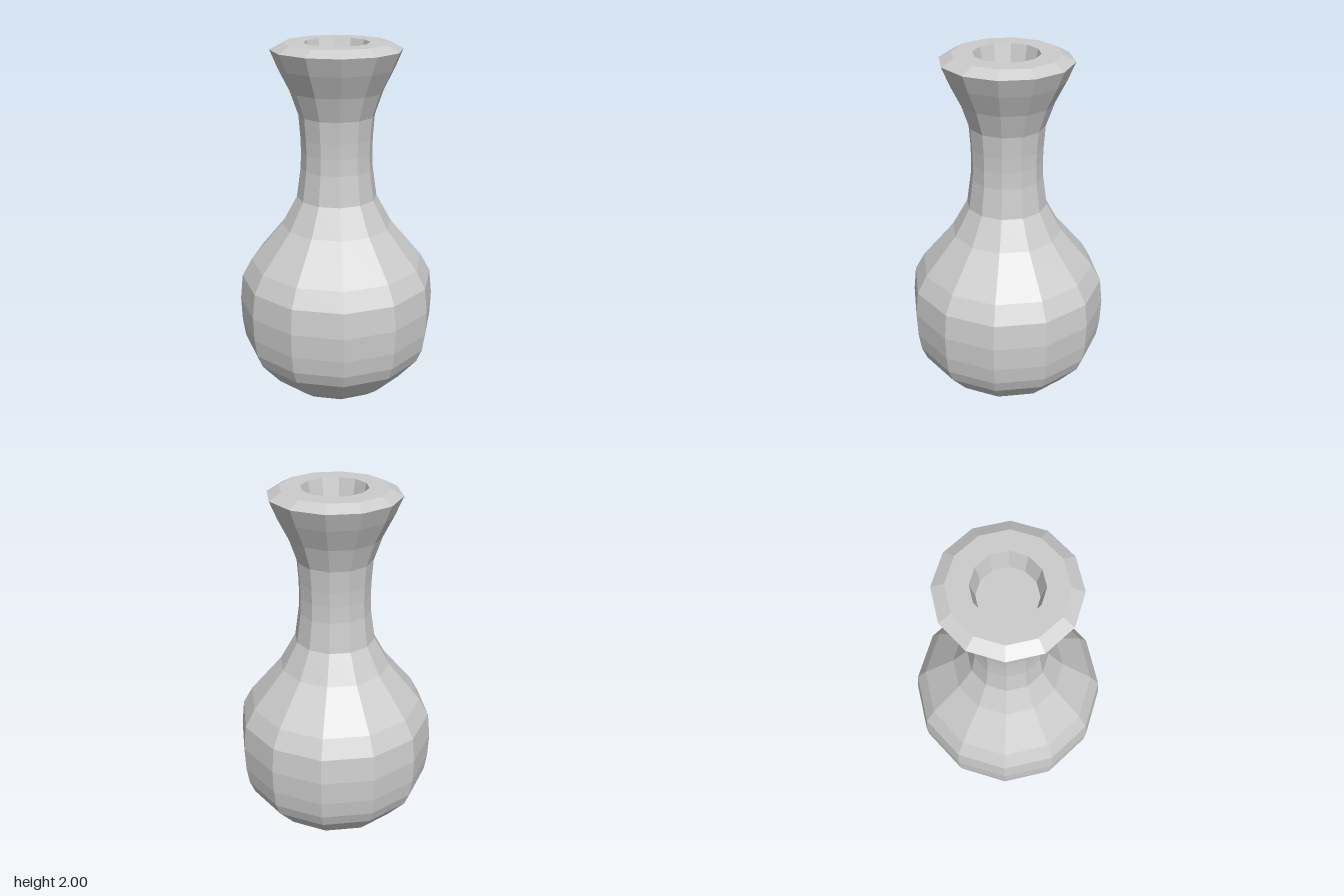
import * as THREE from 'three';

const SIDES = 12;

// Turn a [radius, height] profile into a faceted mesh
function lathe(name, profile, material) {
  const points = profile.map(([r, y]) => new THREE.Vector2(r, y));
  const mesh = new THREE.Mesh(new THREE.LatheGeometry(points, SIDES), material);
  mesh.name = name;
  return mesh;
}

export function createModel() {
  const group = new THREE.Group();
  group.name = 'vase';
  const material = new THREE.MeshStandardMaterial({ color: 0xcccccc, flatShading: true });

  // Flat base and round belly
  const belly = [
    [0, 0], [0.2, 0], [0.24, 0.015], [0.3, 0.05], [0.39, 0.12], [0.5, 0.25],
    [0.53, 0.325], [0.545, 0.425], [0.55, 0.56], [0.535, 0.7], [0.48, 0.8],
    [0.305, 1.01], [0.22, 1.165],
  ];

  // Narrow neck flaring out to the lip
  const neck = [
    [0.22, 1.165], [0.197, 1.33], [0.194, 1.42], [0.196, 1.5], [0.205, 1.62],
    [0.25, 1.75], [0.31, 1.87], [0.35, 1.965],
  ];

  // Bevelled lip with a flat top
  const lip = [[0.35, 1.965], [0.285, 2], [0.175, 2]];

  // Shallow tapered opening with a closed floor
  const opening = [[0.175, 2], [0.15, 1.89], [0, 1.89]];

  group.add(
    lathe('belly', belly, material),
    lathe('neck', neck, material),
    lathe('lip', lip, material),
    lathe('opening', opening, material),
  );
  return group;
}
